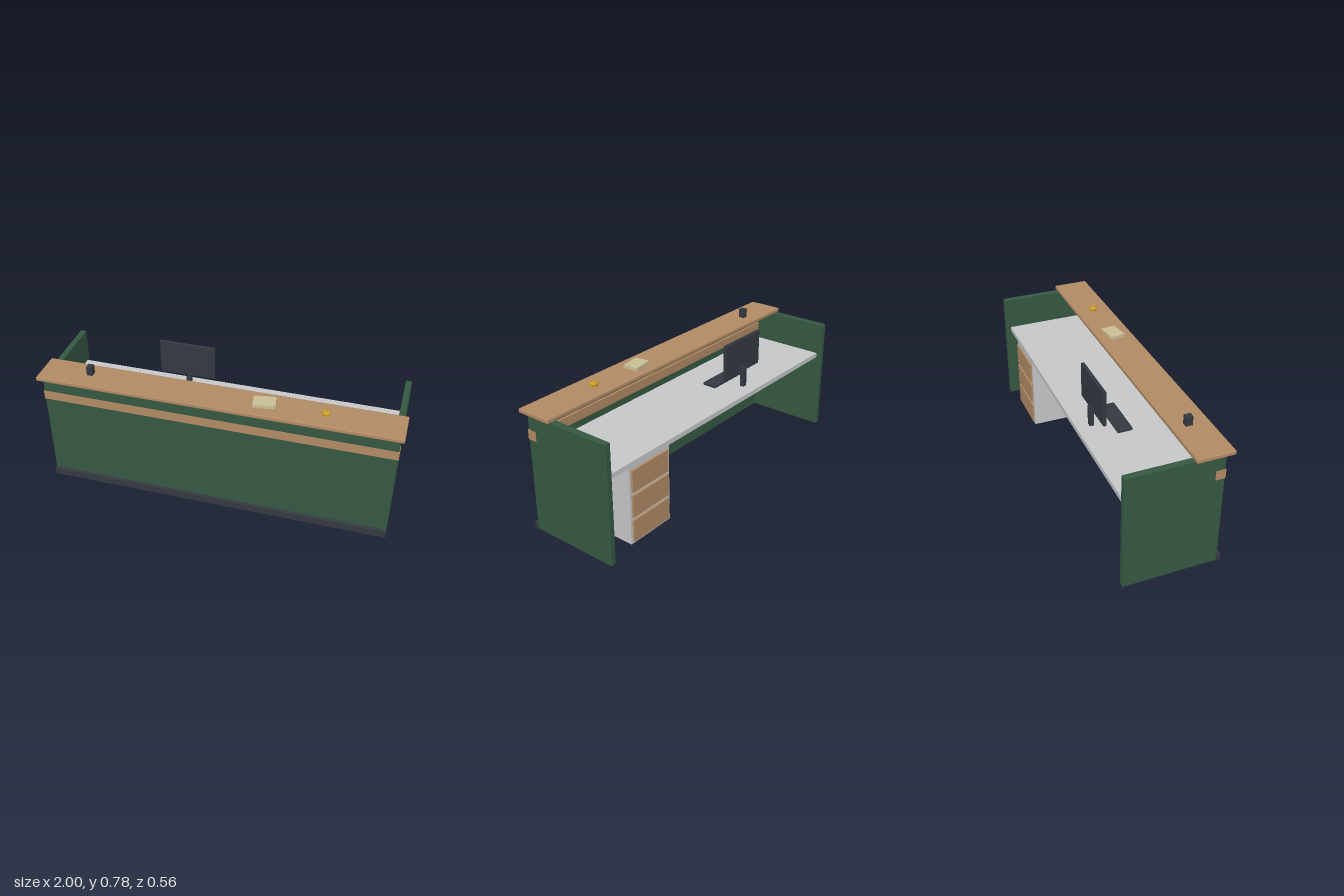
import * as THREE from 'three';
import { RoundedBoxGeometry } from 'three/addons/geometries/RoundedBoxGeometry.js';

const mat = (name, color) => Object.assign(new THREE.MeshStandardMaterial({ color }), { name });

export function createModel() {
  const model = new THREE.Group();
  model.name = 'receptionDesk';
  const green = mat('green panel', 0x355842);
  const wood = mat('warm wood', 0xb18a64);
  const dark = mat('charcoal', 0x343840);
  const grey = mat('light grey', 0xc6c7c9);
  const paper = mat('paper', 0xc8bd94);
  const brass = mat('brass', 0xc99c28);

  const add = (name, geometry, material, x, y, z, parent = model) => {
    const mesh = new THREE.Mesh(geometry, material);
    mesh.name = name;
    mesh.position.set(x, y, z);
    parent.add(mesh);
    return mesh;
  };
  // Box given by its limits on each axis, with an optional edge radius
  const box = (name, material, [x0, x1], [y0, y1], [z0, z1], radius = 0, parent = model) => {
    const size = [x1 - x0, y1 - y0, z1 - z0];
    const geometry = radius ? new RoundedBoxGeometry(...size, 2, radius) : new THREE.BoxGeometry(...size);
    return add(name, geometry, material, (x0 + x1) / 2, (y0 + y1) / 2, (z0 + z1) / 2, parent);
  };

  // Carcass: two end panels, front panel, wood band and plinth
  box('leftEndPanel', green, [0.945, 0.98], [0.003, 0.68], [-0.28, 0.24], 0.006);
  box('rightEndPanel', green, [-0.98, -0.945], [0.003, 0.68], [-0.28, 0.24], 0.006);
  box('frontPanel', green, [-0.978, 0.978], [0.003, 0.68], [0.203, 0.241]);
  box('woodBand', wood, [-0.983, 0.983], [0.537, 0.59], [0.19, 0.243]);
  box('plinth', dark, [-0.98, 0.98], [0, 0.04], [0.236, 0.262]);

  // Visitor counter and work surface
  box('counterTop', wood, [-1, 1], [0.676, 0.7], [0.075, 0.28], 0.006);
  box('workSurface', grey, [-0.946, 0.946], [0.462, 0.49], [-0.25, 0.204]);

  // Drawer cabinet
  const cabinet = new THREE.Group();
  cabinet.name = 'drawerCabinet';
  model.add(cabinet);
  box('cabinetBody', grey, [0.5, 0.8], [0.02, 0.463], [-0.25, 0.11], 0, cabinet);
  for (let i = 0; i < 3; i++) {
    const y = 0.034 + i * 0.143;
    box('drawerFront', wood, [0.513, 0.787], [y, y + 0.127], [-0.26, -0.248], 0.003, cabinet);
  }

  // Monitor and keyboard
  const computer = new THREE.Group();
  computer.name = 'computer';
  model.add(computer);
  box('screen', dark, [-0.428, -0.104], [0.575, 0.78], [-0.16, -0.14], 0.006, computer);
  box('monitorStand', dark, [-0.281, -0.251], [0.489, 0.605], [-0.178, -0.155], 0, computer);
  box('keyboard', dark, [-0.396, -0.132], [0.489, 0.505], [-0.02, 0.066], 0.004, computer).position.z = 0.023 - 0.046;

  // Small things on the counter
  box('penPot', dark, [-0.738, -0.706], [0.699, 0.752], [0.146, 0.183]);
  const pad = box('notePad', paper, [0.199, 0.319], [0.699, 0.718], [0.129, 0.216]);
  pad.rotation.y = 0.15;
  const bell = new THREE.Group();
  bell.name = 'serviceBell';
  bell.position.set(0.585, 0.7, 0.176);
  model.add(bell);
  add('bellBase', new THREE.CylinderGeometry(0.02, 0.022, 0.008, 16), brass, 0, 0.004, 0, bell);
  add('bellDome', new THREE.SphereGeometry(0.024, 16, 10), brass, 0, 0.011, 0, bell).scale.y = 0.55;
  add('bellButton', new THREE.CylinderGeometry(0.006, 0.008, 0.005, 10), brass, 0, 0.0245, 0, bell);

  return model;
}
